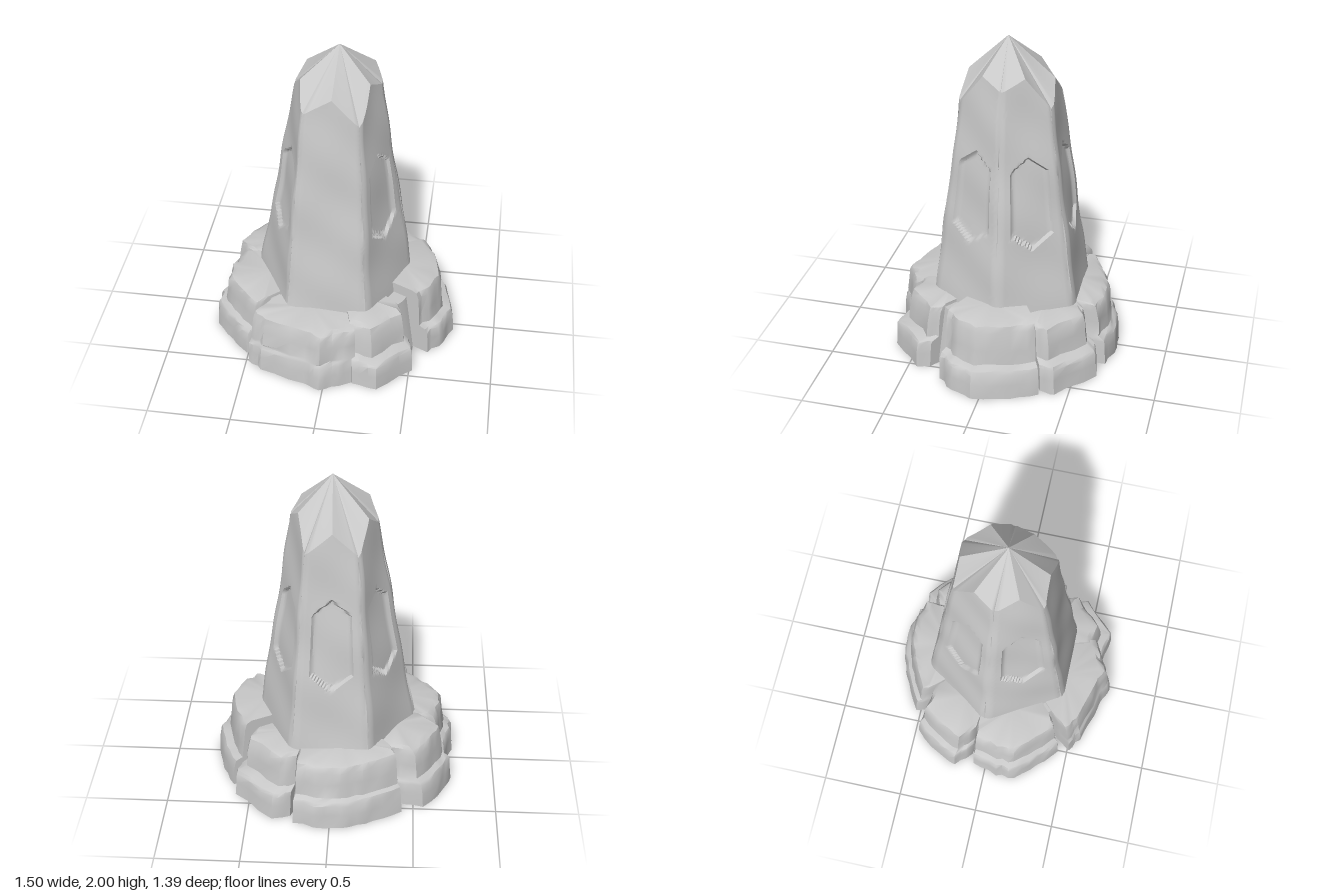
import * as THREE from 'three';
import { toCreasedNormals } from 'three/addons/utils/BufferGeometryUtils.js';

const stone = new THREE.MeshStandardMaterial({ color: 0xc8c8c8 });
stone.name = 'pale stone';

const lerp = THREE.MathUtils.lerp;
const smooth = THREE.MathUtils.smoothstep;

// Small seeded random, -1..1
let seed = 7;
function jitter(amount) {
  seed = (seed * 16807) % 2147483647;
  return (seed / 2147483647 * 2 - 1) * amount;
}

// Closed surface through rings of points (bottom to top, anticlockwise from above)
function loft(rings, bottom, top, crease) {
  const n = rings[0].length;
  const pos = rings.flat().concat([bottom, top]).flatMap(p => [p.x, p.y, p.z]);
  const lo = rings.length * n, hi = lo + 1, last = (rings.length - 1) * n;
  const index = [];
  for (let i = 0; i < n; i++) {
    const k = (i + 1) % n;
    index.push(lo, k, i, hi, last + i, last + k);
    for (let r = 0; r < rings.length - 1; r++) {
      const a = r * n + i, b = r * n + k;
      index.push(a, b, b + n, a, b + n, a + n);
    }
  }
  const g = new THREE.BufferGeometry();
  g.setAttribute('position', new THREE.Float32BufferAttribute(pos, 3));
  g.setIndex(index);
  return toCreasedNormals(g, crease);
}

function add(group, name, geometry) {
  const mesh = new THREE.Mesh(geometry, stone);
  mesh.name = name;
  group.add(mesh);
}

// Tapered six-sided shaft: corners [x, z] at the foot and shoulder, and shoulder height
const FOOT = [[0.47, -0.04], [0.23, -0.46], [-0.23, -0.46], [-0.5, -0.04], [-0.25, 0.41], [0.23, 0.41]];
const SHOULDER = [[0.265, -0.02], [0.15, -0.28], [-0.15, -0.28], [-0.26, -0.02], [-0.17, 0.245], [0.16, 0.245]];
const SHOULDER_Y = [1.75, 1.64, 1.63, 1.71, 1.67, 1.62];
const FRONT_FACE = 4;

// Depth of the pointed sunken panel at u (-1..1 across a face) and height y
function panelDepth(u, y) {
  const a = Math.abs(u);
  const inside = Math.min((0.62 - a) * 0.2, 1.37 - 0.14 * a - y, y - 0.8 - 0.15 * a);
  return 0.02 * smooth(inside, 0, 0.014);
}

function shaftPoint(face, u, row) {
  const next = (face + 1) % 6, f = (u + 1) / 2;
  const topY = lerp(SHOULDER_Y[face], SHOULDER_Y[next], f) + 0.13 * (1 - Math.abs(u));
  const y = lerp(0.3, topY, row);
  const t = (y - 0.42) / 1.28;
  const corner = c => [0, 1].map(k => lerp(FOOT[c][k], SHOULDER[c][k], t));
  const [ax, az] = corner(face), [bx, bz] = corner(next);
  const length = Math.hypot(bx - ax, bz - az);
  let push = 0.006 * Math.sin(y * 11 + face * 2) * Math.cos(u * 2 + face + y * 4);
  push -= 0.012 * smooth(Math.abs(u), 0.85, 1);
  if (face !== FRONT_FACE) push -= panelDepth(u, y);
  return new THREE.Vector3(
    lerp(ax, bx, f) - (bz - az) / length * push, y,
    lerp(az, bz, f) + (bx - ax) / length * push);
}

function shaftGeometry() {
  const columns = 28, rows = 90, rings = [];
  for (let r = 0; r <= rows; r++) {
    const ring = [];
    for (let face = 0; face < 6; face++)
      for (let i = 0; i < columns; i++) ring.push(shaftPoint(face, i / columns * 2 - 1, r / rows));
    rings.push(ring);
  }
  return loft(rings, new THREE.Vector3(0, 0.3, 0), new THREE.Vector3(0.01, 2, 0), 0.55);
}

// Base rocks: outer outline [x, z], height, and how far the upper step is drawn in
const ROCKS = [
  { name: 'rightRock', h: 0.45, step: 0.9,
    outline: [[0.6, 0.28], [0.69, 0.18], [0.745, 0.05], [0.69, -0.18], [0.61, -0.33]] },
  { name: 'backRightRock', h: 0.4, step: 0.88,
    outline: [[0.57, -0.33], [0.59, -0.42], [0.35, -0.63], [0.24, -0.6]] },
  { name: 'backRock', h: 0.41, step: 0.93,
    outline: [[0.21, -0.5], [0.22, -0.66], [0.03, -0.7], [-0.12, -0.68], [-0.26, -0.62], [-0.43, -0.53], [-0.41, -0.47]] },
  { name: 'backLeftRock', h: 0.4, step: 0.92,
    outline: [[-0.4, -0.45], [-0.56, -0.48], [-0.68, -0.32], [-0.735, -0.2], [-0.64, -0.1]] },
  { name: 'leftRock', h: 0.4, step: 0.92,
    outline: [[-0.63, -0.09], [-0.7, -0.08], [-0.75, 0.08], [-0.74, 0.2], [-0.62, 0.33], [-0.51, 0.44], [-0.46, 0.42]] },
  { name: 'frontRock', h: 0.39, step: 0.96,
    outline: [[-0.42, 0.42], [-0.485, 0.51], [-0.4, 0.57], [-0.12, 0.65], [-0.02, 0.695], [0.09, 0.645], [0.19, 0.59]] },
  { name: 'frontRightRock', h: 0.4, step: 0.88,
    outline: [[0.17, 0.61], [0.32, 0.64], [0.52, 0.45], [0.5, 0.37]] },
];

function rockGeometry({ outline, h, step }) {
  // Subdivide and roughen the outline; the rock narrows to the centre of the base
  const edge = [];
  outline.forEach(([x, z], i) => {
    edge.push([x, z]);
    const next = outline[i + 1];
    if (next) for (const f of [0.33, 0.67]) {
      const s = 1 + jitter(0.015);
      edge.push([lerp(x, next[0], f) * s, lerp(z, next[1], f) * s]);
    }
  });
  const levels = [[0, 1], [0.09, 0.992], [0.155, 0.98], [0.175, 0.965], [0.19, step],
    [0.28, step - 0.015], [h - 0.05, step - 0.03], [h - 0.015, step - 0.05], [h, step - 0.1]];
  const rings = levels.map(([y, scale]) => {
    const ring = edge.map(([x, z]) => {
      const s = scale + (y ? jitter(0.007) : 0);
      return new THREE.Vector3(x * s, y + (y > 0.1 ? jitter(0.006) : 0), z * s);
    });
    ring.push(new THREE.Vector3(0, y, 0));
    return ring;
  });
  const centre = (ring, y) => {
    const c = ring.reduce((sum, p) => sum.add(p), new THREE.Vector3()).divideScalar(ring.length);
    return c.multiplyScalar(0.8).setY(y);
  };
  return loft(rings, centre(rings[0], 0), centre(rings.at(-1), h + 0.015), 0.65);
}

export function createModel() {
  const model = new THREE.Group();
  model.name = 'stoneObelisk';
  add(model, 'shaft', shaftGeometry());

  const base = new THREE.Group();
  base.name = 'rockBase';
  for (const rock of ROCKS) add(base, rock.name, rockGeometry(rock));
  // Solid core behind the cracks between rocks
  const core = new THREE.CylinderGeometry(0.5, 0.56, 0.37, 24);
  core.translate(0, 0.195, 0);
  add(base, 'core', core);
  model.add(base);
  return model;
}
